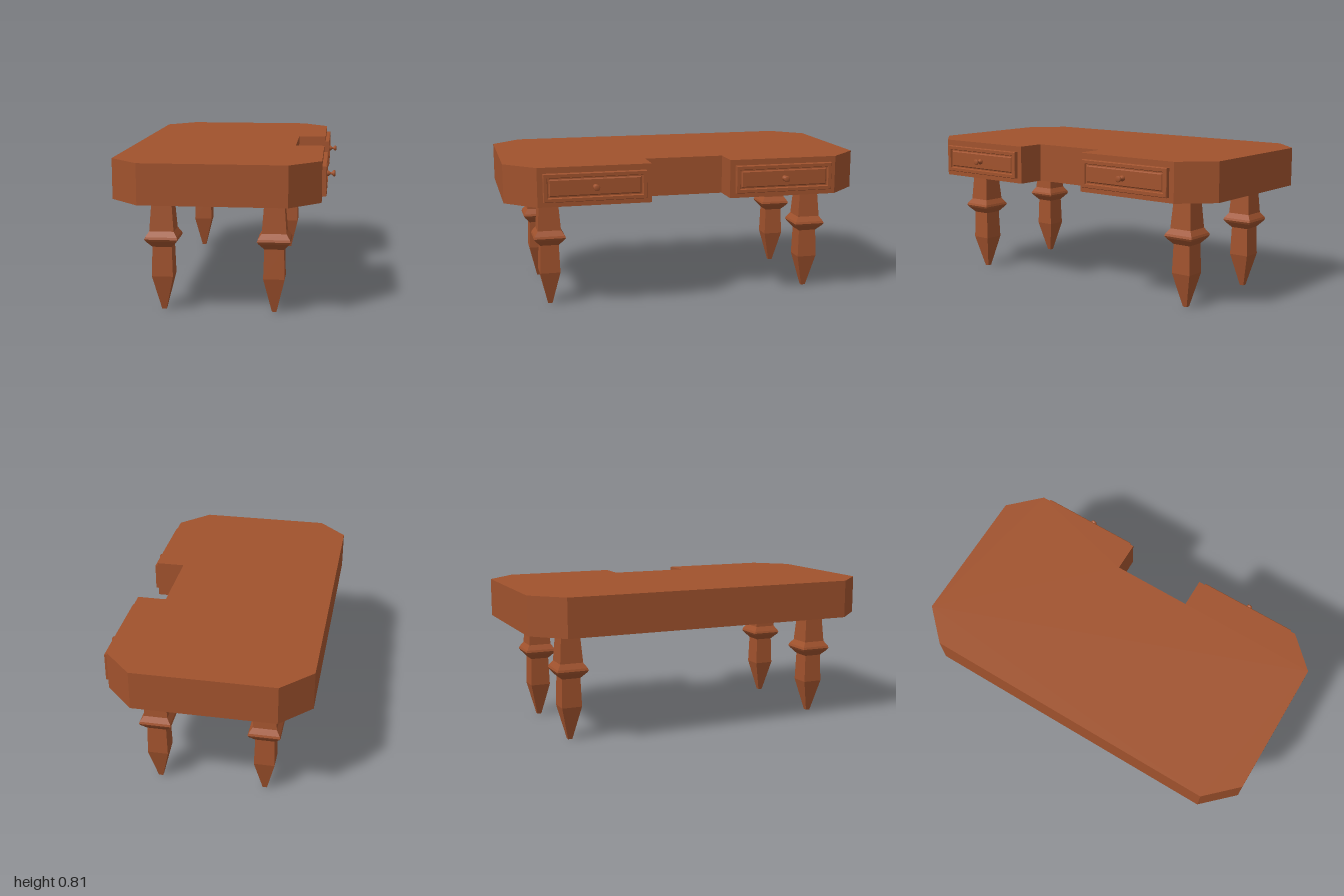
import * as THREE from 'three';

const wood = new THREE.MeshStandardMaterial({ color: 0xa0522d });

// Lofts rectangular rings [halfX, halfZ, y] listed from bottom to top, capped at both ends
function rectLoft(rings) {
  const pos = [];
  const corners = ([a, b, y]) => [[-a, y, b], [a, y, b], [a, y, -b], [-a, y, -b]];
  const quad = (p, q, r, s) => pos.push(...p, ...q, ...r, ...p, ...r, ...s);
  for (let i = 0; i < rings.length - 1; i++) {
    const lo = corners(rings[i]), hi = corners(rings[i + 1]);
    for (let k = 0; k < 4; k++) {
      const n = (k + 1) % 4;
      quad(lo[k], lo[n], hi[n], hi[k]);
    }
  }
  const bottom = corners(rings[0]), top = corners(rings[rings.length - 1]);
  quad(bottom[3], bottom[2], bottom[1], bottom[0]);
  quad(...top);
  const geo = new THREE.BufferGeometry();
  geo.setAttribute('position', new THREE.Float32BufferAttribute(pos, 3));
  geo.computeVertexNormals();
  return geo;
}

function addMesh(parent, name, geo, x, y, z) {
  const mesh = new THREE.Mesh(geo, wood);
  mesh.name = name;
  mesh.position.set(x, y, z);
  parent.add(mesh);
  return mesh;
}

export function createModel() {
  const desk = new THREE.Group();
  desk.name = 'desk';

  // Thick top with cut corners and a knee notch (shape y becomes -z)
  const outline = [
    [-0.57, -0.835], [-0.41, -1], [0.345, -1], [0.505, -0.835],
    [0.505, -0.22], [0.345, -0.22], [0.345, 0.22], [0.505, 0.22],
    [0.505, 0.835], [0.345, 1], [-0.41, 1], [-0.57, 0.835],
  ].map(([x, y]) => new THREE.Vector2(x, y));
  const topGeo = new THREE.ExtrudeGeometry(new THREE.Shape(outline), { depth: 0.212, bevelEnabled: false });
  topGeo.rotateX(-Math.PI / 2);
  addMesh(desk, 'deskTop', topGeo, 0, 0.6, 0);

  // Square legs with a flared collar and a tapered foot
  const legProfile = [
    [0.012, 0], [0.056, 0.187], [0.051, 0.345], [0.08, 0.378], [0.087, 0.39],
    [0.083, 0.402], [0.064, 0.43], [0.051, 0.602],
  ];
  const legGeo = rectLoft(legProfile.map(([r, y]) => [r, r, y]));
  for (const x of [-0.32, 0.265])
    for (const z of [-0.757, 0.757])
      addMesh(desk, x > 0 ? 'drawerSideLeg' : 'plainSideLeg', legGeo, x, 0, z);

  // Drawer front: rim, groove, then a centre panel, each ring given as [inset, depth]
  const drawerGeo = rectLoft([
    [0, -0.005], [0, 0.02], [0.003, 0.024], [0.02, 0.024], [0.024, 0.014],
    [0.03, 0.014], [0.036, 0.02],
  ].map(([inset, d]) => [0.076 - inset, 0.278 - inset, d]));
  drawerGeo.rotateZ(-Math.PI / 2);

  // Waisted round knob
  const knobGeo = new THREE.LatheGeometry([
    [0, -0.012], [0.014, -0.012], [0.016, 0.004], [0.006, 0.014], [0.006, 0.019],
    [0.017, 0.032], [0.017, 0.037], [0.012, 0.041], [0, 0.041],
  ].map(([r, y]) => new THREE.Vector2(r, y)), 16);
  knobGeo.rotateZ(-Math.PI / 2);

  for (const z of [-0.528, 0.528]) {
    const drawer = new THREE.Group();
    drawer.name = 'drawer';
    drawer.position.set(0.505, 0.704, z);
    addMesh(drawer, 'drawerFront', drawerGeo, 0, 0, 0);
    addMesh(drawer, 'drawerKnob', knobGeo, 0.025, 0, 0);
    desk.add(drawer);
  }
  return desk;
}
